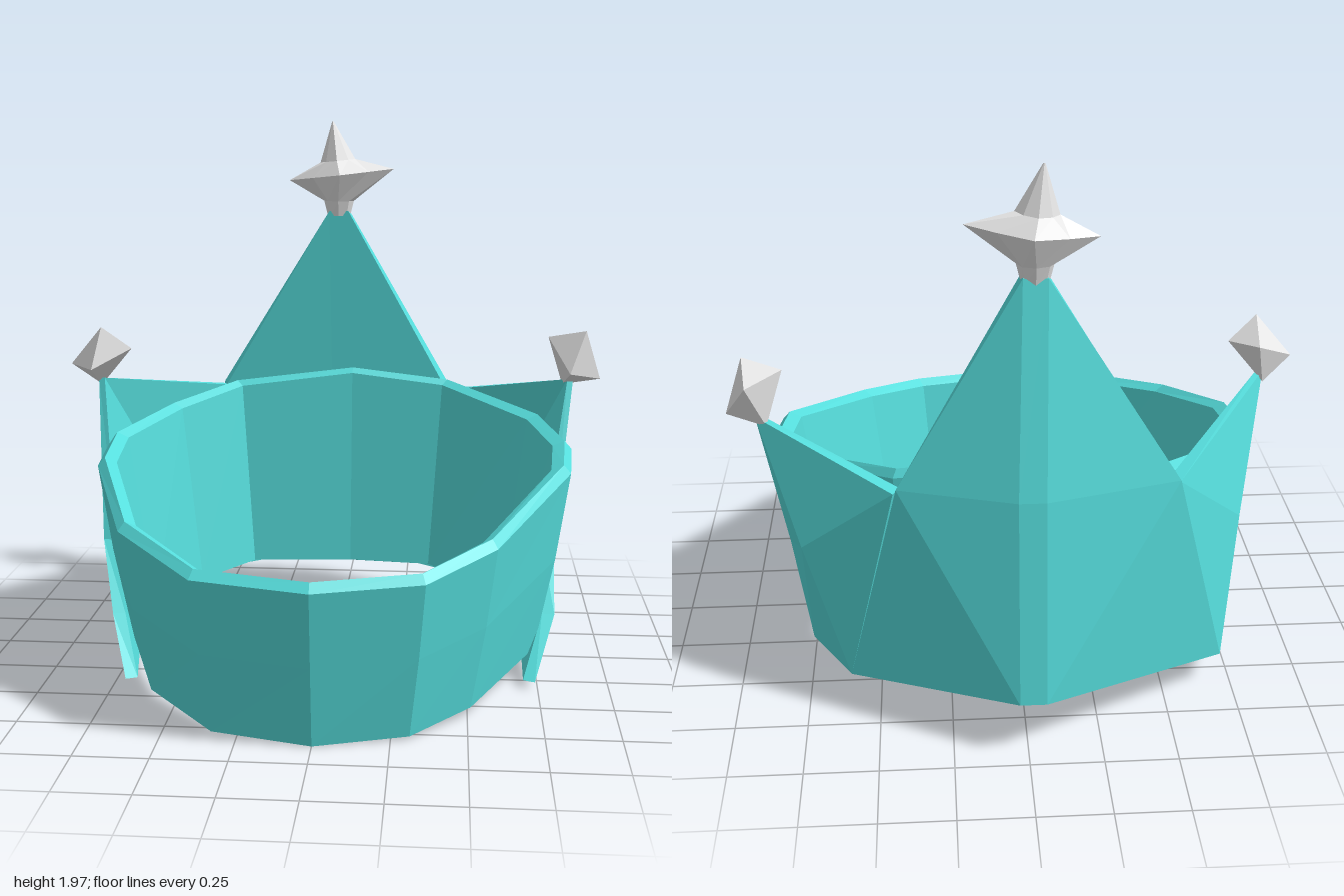
import * as THREE from 'three';
import { ConvexGeometry } from 'three/addons/geometries/ConvexGeometry.js';

const teal = new THREE.MeshStandardMaterial({ color: 0x56dedd });
teal.name = 'teal';
const silver = new THREE.MeshStandardMaterial({ color: 0xe6e6e6 });
silver.name = 'silver';

const V = (p) => new THREE.Vector3(...p);

// Faceted geometry from a list of triangles of Vector3 corners
function facets(tris) {
  const g = new THREE.BufferGeometry().setFromPoints(tris.flat());
  g.computeVertexNormals();
  return g;
}

// Skin between closed sections; sections run from front towards +x
function loft(rings, closed) {
  const tris = [];
  const n = rings[0].length;
  const count = closed ? rings.length : rings.length - 1;
  for (let j = 0; j < count; j++) {
    const lo = rings[j], hi = rings[(j + 1) % rings.length];
    for (let i = 0; i < n; i++) {
      const k = (i + 1) % n;
      tris.push([lo[i], lo[k], hi[k]], [lo[i], hi[k], hi[i]]);
    }
  }
  return facets(tris);
}

// Thick plate: outer facets turned away from the axis, an inner copy and edge walls
function plate(points, faces, inward) {
  const outer = points.map(V);
  const inner = points.map((p) => V(inward(p)));
  const oriented = faces.map(([a, b, c]) => {
    const normal = outer[b].clone().sub(outer[a]).cross(outer[c].clone().sub(outer[a]));
    const mid = outer[a].clone().add(outer[b]).add(outer[c]).setY(0);
    return normal.dot(mid) > 0 ? [a, b, c] : [a, c, b];
  });
  const edges = new Set();
  oriented.forEach(([a, b, c]) => [[a, b], [b, c], [c, a]].forEach((e) => edges.add(e.join())));
  const tris = [];
  for (const [a, b, c] of oriented) {
    tris.push([outer[a], outer[b], outer[c]], [inner[a], inner[c], inner[b]]);
    for (const [s, t] of [[a, b], [b, c], [c, a]]) {
      if (edges.has([t, s].join())) continue;
      tris.push([outer[t], outer[s], inner[s]], [outer[t], inner[s], inner[t]]);
    }
  }
  return facets(tris);
}

export function createModel() {
  const model = new THREE.Group();
  model.name = 'crown';
  const add = (name, geometry, material) => {
    const mesh = new THREE.Mesh(geometry, material);
    mesh.name = name;
    model.add(mesh);
  };

  // Band: irregular faceted ring that rises towards the back; x, z and rim height
  const plan = [
    [0, 0.95, 0.57], [0.36, 0.86, 0.58], [0.59, 0.64, 0.635], [0.86, 0.15, 0.775], [0.88, -0.1, 0.81],
    [0.79, -0.35, 0.86], [0.43, -0.65, 0.94], [0.03, -0.68, 0.98], [-0.46, -0.65, 0.925],
    [-0.69, -0.42, 0.87], [-0.86, -0.12, 0.81], [-0.85, 0.14, 0.77], [-0.68, 0.58, 0.65], [-0.39, 0.87, 0.58],
  ];
  // x scale, front z scale, back z scale, height share, height offset
  const profile = [
    [0.865, 0.915, 0.93, 0, 0],
    [0.945, 0.96, 0.975, 0.5, 0],
    [1, 1, 1, 1, -0.02],
    [0.97, 0.97, 0.98, 1, 0.01],
    [0.92, 0.93, 0.95, 1, -0.01],
    [0.81, 0.863, 0.885, 0, 0.01],
  ];
  const rings = profile.map(([sx, front, back, t, dy]) => plan.map(([x, z, top]) => {
    const bottom = 0.015 + (0.95 - z) * 0.1;
    return V([x * sx, bottom + (top - bottom) * t + dy, z * (z > 0 ? front : back)]);
  }));
  add('band', loft(rings, true), teal);

  // Tall back spike with a blunt ridge
  add('backSpike', plate([
    [-0.07, 1.63, -0.71], [0.01, 1.63, -0.71],
    [-0.51, 0.92, -0.72], [0.42, 0.92, -0.73],
    [-0.06, 0.93, -0.86], [0.03, 0.93, -0.86],
    [-0.71, 0.13, -0.58], [0.6, 0.13, -0.62],
    [-0.06, 0.22, -0.95], [0.03, 0.22, -0.95],
  ], [
    [0, 1, 5], [0, 5, 4], [0, 4, 2], [1, 3, 5], [4, 5, 9],
    [4, 9, 8], [2, 4, 8], [2, 8, 6], [3, 7, 9], [3, 9, 5],
  ], ([x, y, z]) => [x * 0.96, y, Math.max(z + 0.06, -0.67)]), teal);

  // Side plates: tip, back top, back corner, middle, front edge, underside, low edge, tail
  const sideFaces = [[0, 1, 3], [1, 2, 3], [0, 3, 4], [3, 2, 5], [3, 5, 4], [4, 5, 6], [5, 7, 6]];
  const thin = ([x, y, z]) => {
    const s = y > 0.95 ? 0.975 : 0.945;
    return [x * s, y, z * s];
  };
  add('leftSidePlate', plate([
    [0.9, 1.01, -0.35], [0.43, 0.9, -0.72], [0.6, 0.13, -0.62], [0.75, 0.62, -0.57],
    [0.83, 0.41, -0.17], [0.75, 0.09, -0.33], [0.82, 0.21, 0.09], [0.74, 0.04, 0.33],
  ], sideFaces, thin), teal);
  add('rightSidePlate', plate([
    [-0.9, 1.03, -0.12], [-0.51, 0.91, -0.71], [-0.71, 0.13, -0.58], [-0.78, 0.61, -0.43],
    [-0.87, 0.43, 0.0], [-0.79, 0.04, -0.05], [-0.8, 0.2, 0.18], [-0.72, 0.015, 0.35],
  ], sideFaces, thin), teal);

  // Star gem on the spike: x centre, height, x radius, z radius, pull-in of diagonals, tilt
  const starRings = [
    [-0.03, 1.61, 0.045, 0.035, 1, 0], [-0.03, 1.67, 0.06, 0.05, 1, 0], [-0.02, 1.775, 0.21, 0.1, 0.75, 0.11],
    [-0.035, 1.83, 0.07, 0.055, 0.9, 0.1], [-0.055, 1.985, 0.003, 0.003, 1, 0],
  ].map(([cx, y, rx, rz, pinch, tilt]) => Array.from({ length: 8 }, (_, i) => {
    const a = i * Math.PI / 4, r = i % 2 ? pinch : 1;
    const x = Math.sin(a) * rx * r;
    return V([cx + x, y + tilt * x, Math.cos(a) * rz * r - 0.68]);
  }));
  add('starGem', loft(starRings, false), silver);

  // Small eight-sided gems on the side tips, given by centre and half-axes
  const gem = (name, centre, axes) => add(name, new ConvexGeometry(
    axes.flatMap((a) => [1, -1].map((s) => V(centre).addScaledVector(V(a), s)))), silver);
  gem('leftGem', [0.9, 1.095, -0.33], [[-0.1, 0.08, 0], [0.04, 0.11, 0.045], [0.02, 0.05, -0.09]]);
  gem('rightGem', [-0.885, 1.115, -0.11], [[-0.115, -0.03, 0], [0.01, 0.115, 0.04], [0.02, 0.04, -0.09]]);

  return model;
}
